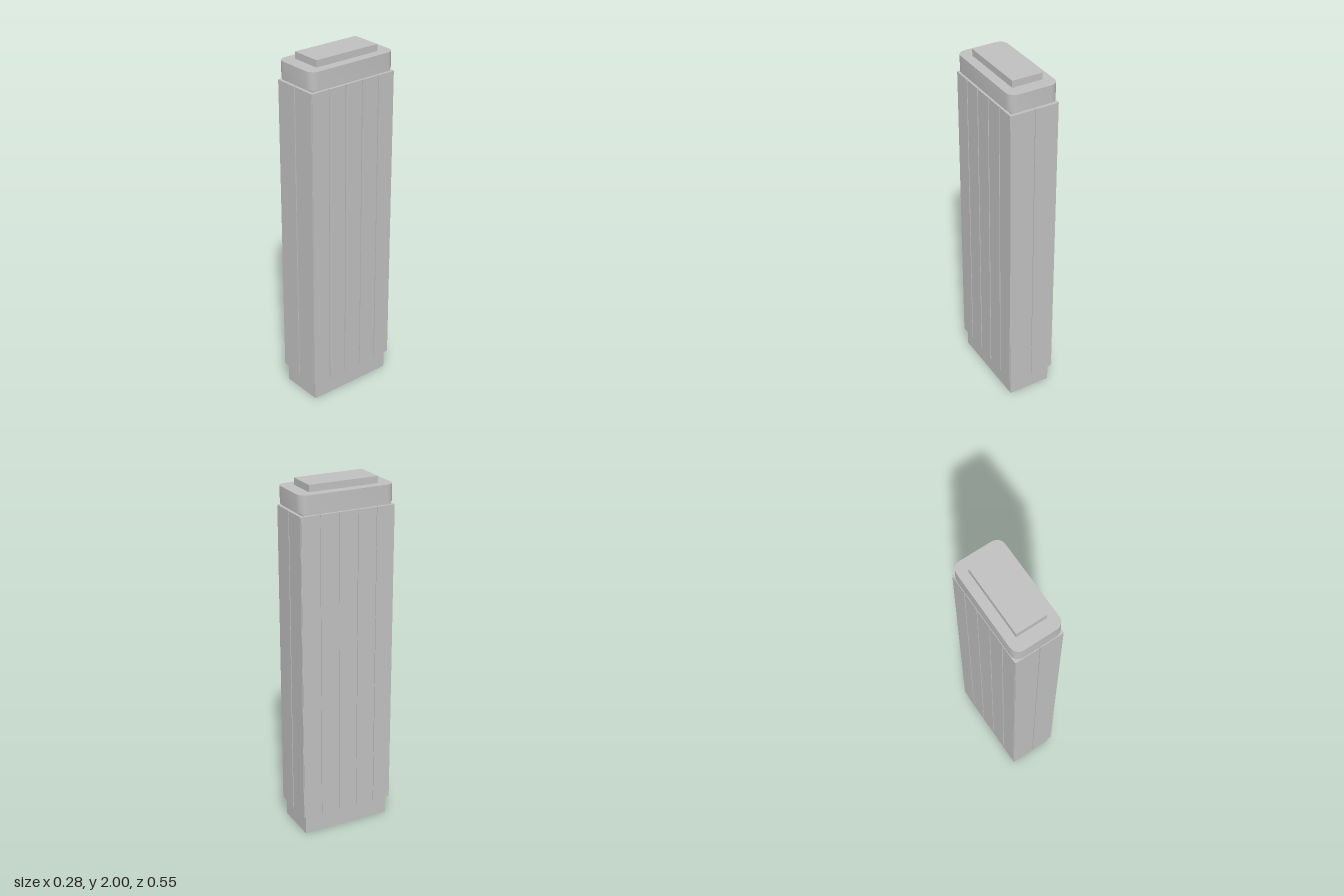
import * as THREE from 'three';
import { toCreasedNormals } from 'three/addons/utils/BufferGeometryUtils.js';

const W = 0.14, D = 0.274;            // half width and half depth of the tower
const BODY_Y0 = 0.11, BODY_Y1 = 1.853;

export function createModel() {
  const group = new THREE.Group();
  const concrete = new THREE.MeshStandardMaterial({ color: 0xc0c0c0, side: THREE.DoubleSide });
  concrete.name = 'concrete grey';

  const add = (name, geometry) => {
    const mesh = new THREE.Mesh(geometry, concrete);
    mesh.name = name;
    group.add(mesh);
    return mesh;
  };
  const box = (name, w, y0, y1, d, x = 0, z = 0) =>
    add(name, new THREE.BoxGeometry(w, y1 - y0, d)).position.set(x, (y0 + y1) / 2, z);

  // Base: four thin walls, open underneath
  for (const s of [-1, 1]) {
    const end = add('baseEndWall', new THREE.PlaneGeometry(0.25, BODY_Y0));
    end.position.set(0, BODY_Y0 / 2, s * 0.257);
    end.rotation.y = s > 0 ? 0 : Math.PI;
    const side = add('baseSideWall', new THREE.PlaneGeometry(0.514, BODY_Y0));
    side.position.set(s * 0.125, BODY_Y0 / 2, 0);
    side.rotation.y = s * Math.PI / 2;
  }

  // Core behind the facade panels
  const t = 0.005, gap = 0.007;
  box('core', 2 * (W - t), BODY_Y0, BODY_Y1, 2 * (D - t));

  // Facade panels separated by narrow grooves: two per end, five per side
  const panelRow = (count, half, place) => {
    const pitch = 2 * half / count;
    for (let i = 0; i < count; i++) place(-half + (i + 0.5) * pitch, pitch - gap);
  };
  for (const s of [-1, 1]) {
    panelRow(2, W, (x, w) => box('endPanel', w, BODY_Y0, BODY_Y1, t, x, s * (D - t / 2)));
    panelRow(5, D, (z, w) => box('sidePanel', t, BODY_Y0, BODY_Y1, w, s * (W - t / 2), z));
  }

  // Recessed neck under the cap
  box('neck', 0.25, BODY_Y1, 1.867, 0.514);

  // Cap with rounded corners
  const r = 0.046, shape = new THREE.Shape();
  shape.moveTo(W, -D + r);
  shape.lineTo(W, D - r);
  shape.absarc(W - r, D - r, r, 0, Math.PI / 2);
  shape.lineTo(-W + r, D);
  shape.absarc(-W + r, D - r, r, Math.PI / 2, Math.PI);
  shape.lineTo(-W, -D + r);
  shape.absarc(-W + r, -D + r, r, Math.PI, Math.PI * 1.5);
  shape.lineTo(W - r, -D);
  shape.absarc(W - r, -D + r, r, Math.PI * 1.5, Math.PI * 2);
  const cap = new THREE.ExtrudeGeometry(shape, { depth: 0.095, bevelEnabled: false, curveSegments: 2 });
  cap.rotateX(-Math.PI / 2);
  cap.translate(0, 1.867, 0);
  add('cap', toCreasedNormals(cap, 0.9));

  // Rooftop block
  box('roofBlock', 0.174, 1.962, 2, 0.4);

  return group;
}
